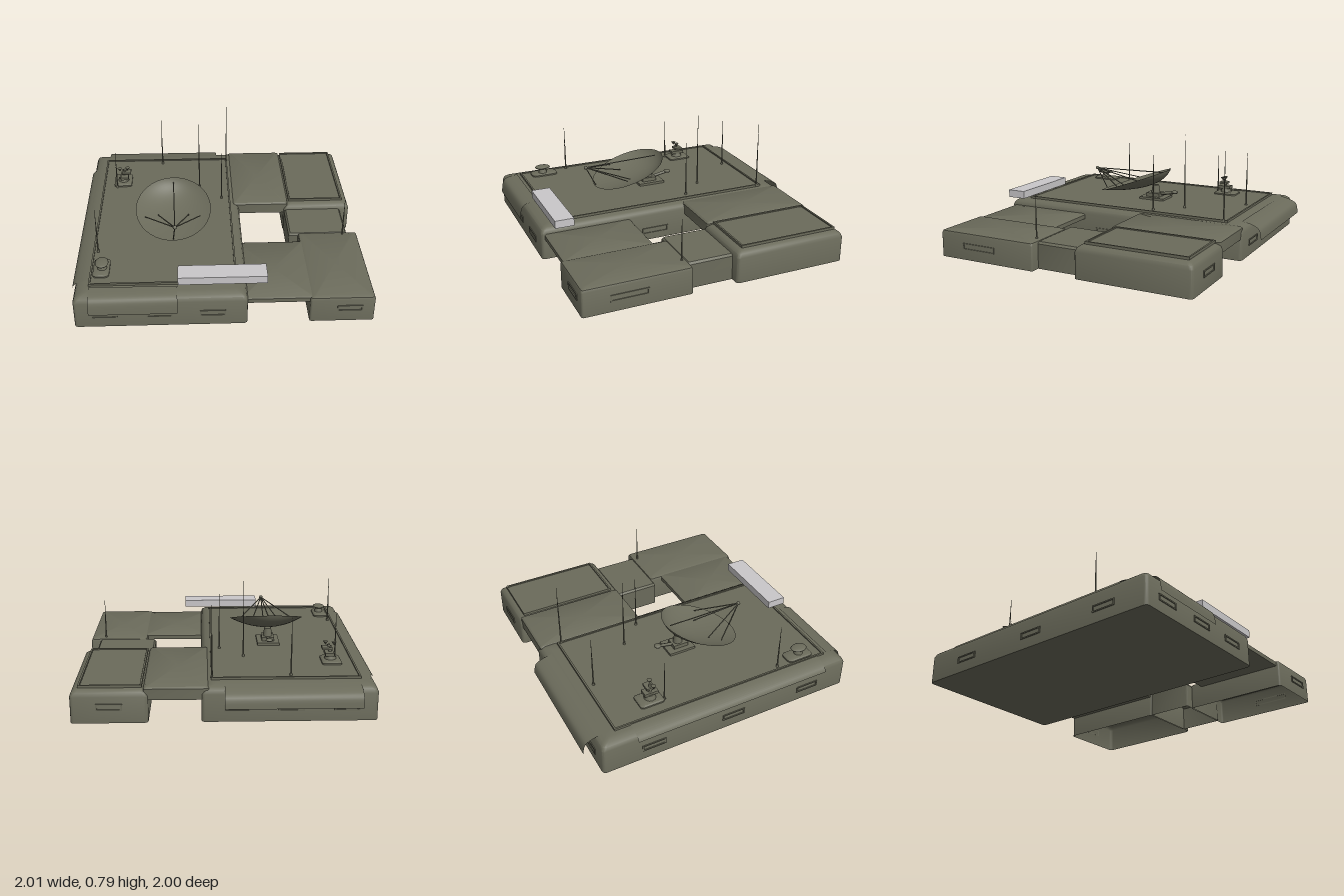
import * as THREE from 'three';
import { toCreasedNormals } from 'three/addons/utils/BufferGeometryUtils.js';

const olive = new THREE.MeshStandardMaterial({ color: 0x6b6b5b, side: THREE.DoubleSide });
olive.name = 'olive';
const lightGrey = new THREE.MeshStandardMaterial({ color: 0xcac8ca });
lightGrey.name = 'light grey';

export function createModel() {
  const root = new THREE.Group();

  const add = (name, geo, x = 0, y = 0, z = 0, mat = olive) => {
    const mesh = new THREE.Mesh(geo, mat);
    mesh.name = name;
    mesh.position.set(x, y, z);
    root.add(mesh);
    return mesh;
  };

  // Box given by its bounds
  const box = (name, x0, x1, y0, y1, z0, z1, mat) =>
    add(name, new THREE.BoxGeometry(x1 - x0, y1 - y0, z1 - z0),
      (x0 + x1) / 2, (y0 + y1) / 2, (z0 + z1) / 2, mat);

  // Block lofted through rounded rectangles; levels are [height, inset]
  const block = (name, x0, x1, z0, z1, levels, closed, radius = 0.025) => {
    const loops = levels.map(([y, inset]) => {
      const pts = [];
      const corners = [[x1, z1], [x0, z1], [x0, z0], [x1, z0]];
      corners.forEach(([cx, cz], k) => {
        const sx = cx === x1 ? 1 : -1, sz = cz === z1 ? 1 : -1;
        for (let s = 0; s <= 3; s++) {
          const a = (k + s / 3) * Math.PI / 2;
          pts.push([cx - sx * (inset + radius) + Math.cos(a) * radius, y,
            cz - sz * (inset + radius) + Math.sin(a) * radius]);
        }
      });
      return pts;
    });
    const pos = [];
    const tri = (...p) => p.forEach(v => pos.push(...v));
    const n = loops[0].length;
    const centre = y => [(x0 + x1) / 2, y, (z0 + z1) / 2];
    for (let i = 0; i < n; i++) {
      const j = (i + 1) % n;
      for (let l = 0; l + 1 < loops.length; l++) {
        const a = loops[l], b = loops[l + 1];
        tri(a[i], b[i], a[j]);
        tri(a[j], b[i], b[j]);
      }
      const top = loops[loops.length - 1];
      tri(centre(top[0][1]), top[j], top[i]);
      if (closed) tri(centre(loops[0][0][1]), loops[0][i], loops[0][j]);
    }
    const geo = new THREE.BufferGeometry();
    geo.setAttribute('position', new THREE.Float32BufferAttribute(pos, 3));
    return add(name, toCreasedNormals(geo, 0.6));
  };

  // Raised rectangular rim lying on a roof
  const rim = (name, x0, x1, z0, z1, y, h, w = 0.014) => {
    box(name, x0, x1, y, y + h, z0, z0 + w);
    box(name, x0, x1, y, y + h, z1 - w, z1);
    box(name, x0, x0 + w, y, y + h, z0 + w, z1 - w);
    box(name, x1 - w, x1, y, y + h, z0 + w, z1 - w);
  };

  // Thin bar between two points
  const bar = (name, from, to, r0, r1 = r0) => {
    const a = new THREE.Vector3(...from), b = new THREE.Vector3(...to);
    const d = b.clone().sub(a);
    const mesh = add(name, new THREE.CylinderGeometry(r1, r0, d.length(), 6));
    mesh.position.copy(a).addScaledVector(d, 0.5);
    mesh.quaternion.setFromUnitVectors(new THREE.Vector3(0, 1, 0), d.normalize());
  };

  // Main building with its rounded shoulders
  const bevel = h => [[0, 0], [h - 0.05, 0], [h - 0.025, 0.01], [h - 0.01, 0.03], [h, 0.07]];
  block('mainBuilding', -0.98, 0.16, -0.915, 0.97, bevel(0.238), true);
  block('mainRoof', -0.88, 0.09, -0.78, 0.84, [[0.23, 0], [0.245, 0.004]], false, 0.015);
  rim('roofRim', -0.885, 0.095, -0.785, 0.845, 0.236, 0.018, 0.012);

  // Side wings, open underneath
  block('backWing', 0.5, 1, -0.92, -0.1, bevel(0.228), false);
  block('backWingRoof', 0.55, 0.94, -0.865, -0.165, [[0.22, 0], [0.236, 0.004]], false, 0.015);
  rim('backWingRim', 0.54, 0.95, -0.875, -0.155, 0.225, 0.018, 0.012);
  block('frontWing', 0.57, 1, 0.215, 0.965,
    [[0, 0], [0.17, 0], [0.185, 0.006], [0.195, 0.03]], false, 0.015);
  block('wingLink', 0.505, 0.93, -0.11, 0.225, [[0, 0], [0.17, 0], [0.185, 0.012]], false, 0.012);

  // Raised bridges joining the wings to the main building
  block('backBridge', 0.11, 0.53, -0.905, -0.115, [[0.15, 0], [0.225, 0], [0.235, 0.012]], true, 0.012);
  block('frontBridge', 0.11, 0.6, 0.315, 0.945, [[0.15, 0], [0.18, 0], [0.188, 0.012]], true, 0.012);

  // Window slots: a thin frame around a flat pane, turned to face each wall
  const slot = (x, y, z, turn, w = 0.17, h = 0.045) => {
    const shape = new THREE.Shape();
    shape.moveTo(-w / 2, -h / 2).lineTo(w / 2, -h / 2).lineTo(w / 2, h / 2).lineTo(-w / 2, h / 2);
    const hole = new THREE.Path();
    const a = w / 2 - 0.01, b = h / 2 - 0.008;
    hole.moveTo(-a, -b).lineTo(-a, b).lineTo(a, b).lineTo(a, -b);
    shape.holes.push(hole);
    const geo = new THREE.ExtrudeGeometry(shape, { depth: 0.007, bevelEnabled: false });
    add('windowSlot', geo, x, y, z).rotation.y = turn;
  };
  const q = Math.PI / 2;
  for (const x of [-0.78, -0.42, -0.07]) {
    slot(x, 0.095, 0.969, 0);
    slot(x, 0.095, -0.914, Math.PI);
  }
  slot(0.835, 0.105, 0.964, 0);
  slot(0.75, 0.11, -0.919, Math.PI);
  slot(0.999, 0.095, 0.65, q, 0.26);
  for (const z of [-0.55, 0.05, 0.65]) slot(-0.979, 0.095, z, -q);
  slot(0.159, 0.07, 0.12, q, 0.2);

  // Thin curved awnings over the shoulders: profile [outward, height]
  const awning = (name, profile, length, x, z, turn) => {
    const pts = new THREE.SplineCurve(profile.map(p => new THREE.Vector2(...p))).getPoints(12);
    const geo = new THREE.PlaneGeometry(length, 1, 1, pts.length - 1);
    const pos = geo.attributes.position;
    for (let i = 0; i < pos.count; i++) {
      const p = pts[Math.floor(i / 2)];
      pos.setXYZ(i, pos.getX(i), p.y, p.x);
    }
    geo.computeVertexNormals();
    add(name, geo, x, 0, z).rotation.y = turn;
  };
  awning('frontAwning', [[0, 0.246], [0.08, 0.232], [0.115, 0.2], [0.13, 0.12]], 0.58, -0.59, 0.87, 0);
  awning('backAwning', [[0, 0.238], [0.07, 0.222], [0.125, 0.19], [0.14, 0.12]], 0.88, -0.43, -0.86, Math.PI);
  awning('sideAwning', [[0, 0.246], [0.05, 0.235], [0.1, 0.212], [0.12, 0.185]], 1.46, -0.88, 0.06, -q);

  // Dish: a shallow bowl, deepest towards its high back edge
  const bowl = [];
  for (let i = 0; i <= 12; i++) {
    const t = i / 12;
    bowl.push(new THREE.Vector2(0.286 * t, -0.075 * (1 - t * t)));
  }
  const dishGeo = new THREE.LatheGeometry(bowl, 40);
  const dp = dishGeo.attributes.position;
  for (let i = 0; i < dp.count; i++) {
    dp.setX(i, dp.getX(i) * 0.945);
    dp.setZ(i, dp.getZ(i) + dp.getY(i) * 1.2);
  }
  dishGeo.computeVertexNormals();
  add('dish', dishGeo, -0.33, 0.375, 0.14).rotation.x = 0.34;

  // Feed and its struts
  const tip = [-0.315, 0.44, 0.48];
  add('dishFeed', new THREE.SphereGeometry(0.014, 12, 8), ...tip);
  const feet = [[-0.33, 0.285, 0.4], [-0.53, 0.35, 0.21], [-0.14, 0.35, 0.21],
    [-0.33, 0.45, -0.09], [-0.44, 0.33, 0.16], [-0.22, 0.33, 0.16]];
  for (const foot of feet) bar('feedStrut', tip, foot, 0.004);

  // Dish mount
  box('dishBase', -0.41, -0.25, 0.24, 0.262, -0.13, 0.07);
  box('dishPedestal', -0.375, -0.285, 0.26, 0.29, -0.08, 0.03);
  add('dishNeck', new THREE.CylinderGeometry(0.025, 0.035, 0.07, 12), -0.33, 0.315, -0.03);
  bar('dishBrace', [-0.33, 0.28, -0.06], [-0.33, 0.305, -0.2], 0.012);
  add('dishKnob', new THREE.SphereGeometry(0.026, 12, 8), -0.33, 0.305, -0.19).scale.y = 0.5;

  // Front turret: flat cap on a stem
  block('frontTurretBase', -0.865, -0.755, 0.57, 0.77, [[0.24, 0], [0.255, 0], [0.262, 0.01]], false, 0.03);
  add('frontTurretStem', new THREE.CylinderGeometry(0.02, 0.035, 0.05, 12), -0.805, 0.28, 0.68);
  add('frontTurretCap', new THREE.SphereGeometry(0.045, 18, 10), -0.805, 0.305, 0.68).scale.set(1, 0.3, 1.35);

  // Back turret: stacked sensor heads
  block('backTurretBase', -0.8, -0.665, -0.55, -0.375, [[0.24, 0], [0.255, 0], [0.262, 0.01]], false, 0.02);
  add('backTurretStem', new THREE.CylinderGeometry(0.03, 0.045, 0.04, 12), -0.73, 0.275, -0.455);
  box('backTurretBody', -0.75, -0.69, 0.29, 0.312, -0.5, -0.4);
  bar('backTurretPost', [-0.73, 0.3, -0.455], [-0.715, 0.36, -0.445], 0.012);
  box('backTurretHead', -0.74, -0.67, 0.33, 0.345, -0.48, -0.42);
  for (const [x, y] of [[-0.755, 0.362], [-0.695, 0.368]])
    add('turretSensor', new THREE.ConeGeometry(0.018, 0.024, 10), x, y, -0.44).rotation.x = Math.PI;

  // Whip aerials: [x, z, foot, top]
  const aerials = [[-0.85, 0.475, 0.24, 0.59], [-0.775, -0.37, 0.24, 0.555], [-0.43, -0.73, 0.24, 0.64],
    [-0.135, -0.36, 0.24, 0.79], [0.03, -0.185, 0.24, 0.65], [0.09, -0.755, 0.24, 0.735],
    [0.89, 0.25, 0.18, 0.485]];
  for (const [x, z, foot, top] of aerials) {
    const mid = foot + (top - foot) * 0.6;
    bar('aerialBase', [x, foot, z], [x, foot + 0.02, z], 0.011, 0.008);
    bar('aerialLower', [x, foot, z], [x, mid, z], 0.006, 0.004);
    bar('aerialUpper', [x, mid, z], [x, top, z], 0.003, 0.0015);
  }

  // Pale bar floating above the front edge
  box('floatingBar', -0.295, 0.29, 0.28, 0.335, 0.77, 0.905, lightGrey);

  return root;
}
